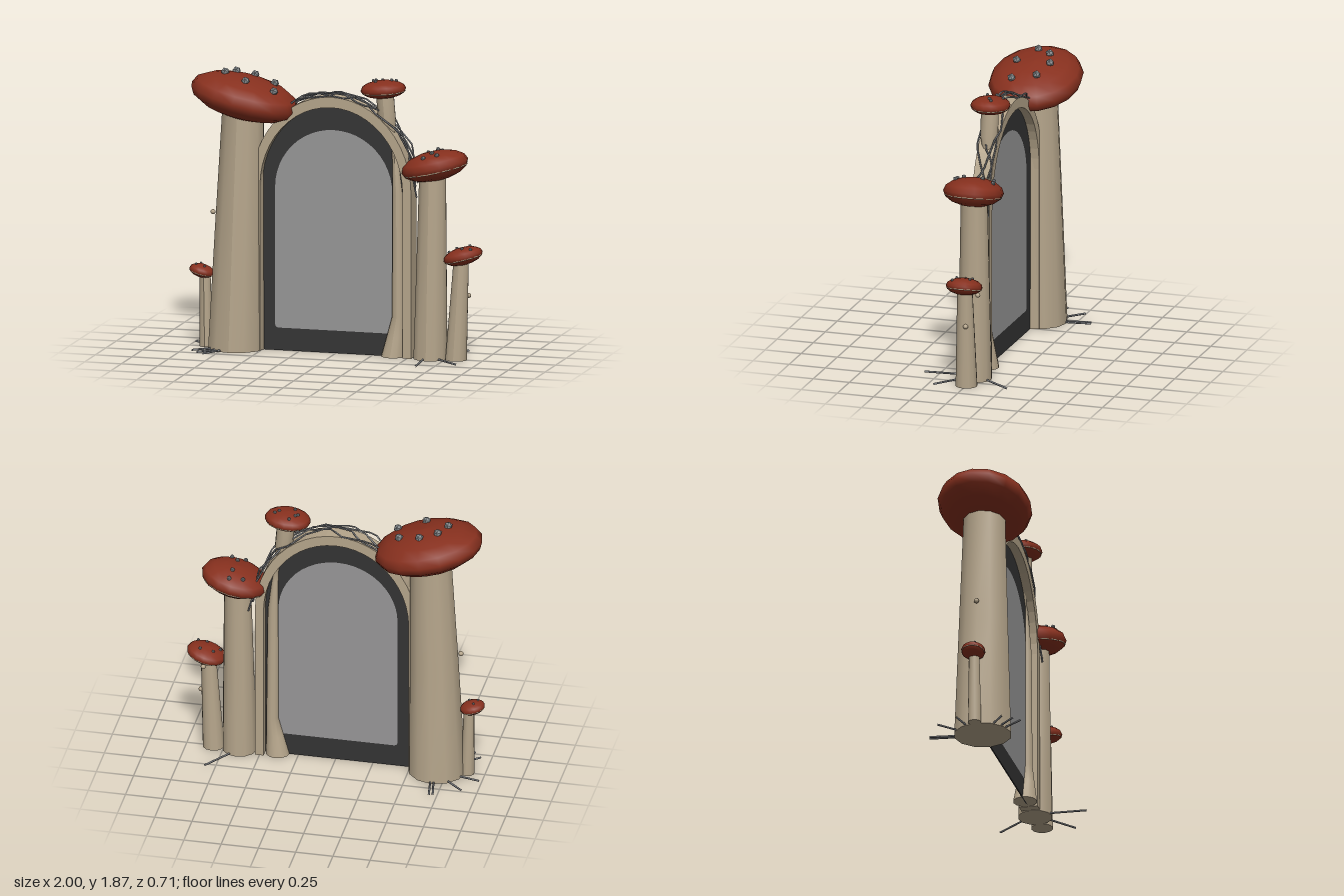
import * as THREE from 'three';

const mat = (name, color) => {
  const m = new THREE.MeshStandardMaterial({ color });
  m.name = name;
  return m;
};

export function createModel() {
  const root = new THREE.Group();
  root.name = 'mushroomArch';
  const wood = mat('stemBeige', 0xb5a58b);
  const red = mat('capRed', 0x87301e);
  const dark = mat('frameCharcoal', 0x343434);
  const pane = mat('paneGrey', 0x979697);
  const spotGrey = mat('spotGrey', 0x83888b);
  const vineGrey = mat('vineGrey', 0x7b7d81);

  const add = (name, geo, material, parent = root) => {
    const m = new THREE.Mesh(geo, material);
    m.name = name;
    parent.add(m);
    return m;
  };

  // Round stem lofted through horizontal sections [x, y, radius]
  function stem(name, sections, sides, parent) {
    const n = sections.length - 1;
    const geo = new THREE.CylinderGeometry(1, 1, n, sides, n);
    const p = geo.attributes.position;
    for (let i = 0; i < p.count; i++) {
      const [x, y, r] = sections[Math.round(p.getY(i) + n / 2)];
      p.setXYZ(i, x + p.getX(i) * r, y, p.getZ(i) * r);
    }
    geo.computeVertexNormals();
    return add(name, geo, wood, parent);
  }

  // Tilted lens-shaped cap with a gill rim and spots placed by x, z
  function cap(c, parent) {
    const g = new THREE.Group();
    g.name = 'cap';
    g.position.set(c.x, c.y, 0);
    g.rotation.z = c.tilt;
    parent.add(g);
    const pts = [];
    for (let i = 0; i <= 8; i++) {
      const a = -Math.PI / 2 + (i / 8) * Math.PI;
      pts.push(new THREE.Vector2(Math.max(0, Math.cos(a)), Math.sin(a)));
    }
    const dome = new THREE.LatheGeometry(pts, 16);
    dome.scale(c.rx, c.h, c.rz);
    add('capDome', dome, red, g);
    if (c.gills) {
      const rim = new THREE.CylinderGeometry(0.948, 0.948, 0.006, 20);
      rim.scale(c.rx, 1, c.rz);
      add('gillRim', rim, wood, g).position.y = -c.h * 0.28;
    }
    const ball = new THREE.IcosahedronGeometry(c.spotSize, 0);
    for (const [x, z] of c.spots) {
      const u = (x - c.x) / Math.cos(c.tilt);
      const k = 1 - (u / c.rx) ** 2 - (z / c.rz) ** 2;
      const v = c.h * Math.sqrt(Math.max(0, k));
      // correct for the tilt so the spot lands on the wanted x
      const w = u + v * Math.tan(c.tilt);
      const top = c.h * Math.sqrt(Math.max(0, 1 - (w / c.rx) ** 2 - (z / c.rz) ** 2));
      add('capSpot', ball, spotGrey, g).position.set(w, top + c.spotSize * 0.2, z);
    }
  }

  // The five mushrooms; the top one narrows through the arch into a slim root
  const mushrooms = [
    { name: 'largeLeftMushroom', sides: 12,
      stem: [[-0.68, 0, 0.192], [-0.66, 0.8, 0.166], [-0.635, 1.62, 0.14]],
      cap: { x: -0.623, y: 1.68, rx: 0.369, rz: 0.308, h: 0.14, tilt: -0.23, spotSize: 0.029,
        spots: [[-0.7, -0.07], [-0.585, -0.11], [-0.44, -0.065], [-0.75, 0.025], [-0.585, 0.12], [-0.4, 0.095]] } },
    { name: 'smallLeftMushroom', sides: 10,
      stem: [[-0.885, 0, 0.045], [-0.895, 0.5, 0.036]],
      cap: { x: -0.917, y: 0.503, rx: 0.084, rz: 0.08, h: 0.043, tilt: -0.25, spotSize: 0.009, gills: true,
        spots: [[-0.95, 0.02], [-0.93, -0.03], [-0.89, 0.03]] } },
    { name: 'topMushroom', sides: 12,
      stem: [[0.39, 0, 0.08], [0.408, 0.14, 0.059], [0.425, 0.27, 0.041], [0.421, 1.08, 0.036], [0.407, 1.3, 0.022],
        [0.394, 1.41, 0.014], [0.362, 1.5, 0.042], [0.348, 1.58, 0.06], [0.333, 1.76, 0.06]],
      cap: { x: 0.323, y: 1.78, rx: 0.153, rz: 0.13, h: 0.06, tilt: 0.08, spotSize: 0.012, gills: true,
        spots: [[0.297, -0.08], [0.265, -0.035], [0.25, -0.02], [0.377, -0.01], [0.403, -0.03], [0.28, 0.035]] } },
    { name: 'largeRightMushroom', sides: 12,
      stem: [[0.645, 0, 0.115], [0.652, 0.6, 0.103], [0.66, 1.27, 0.09]],
      cap: { x: 0.675, y: 1.288, rx: 0.228, rz: 0.197, h: 0.098, tilt: 0.23, spotSize: 0.016, gills: true,
        spots: [[0.6, -0.115], [0.687, -0.14], [0.68, -0.065], [0.675, 0.067], [0.632, 0.125], [0.72, 0.11]] } },
    { name: 'smallRightMushroom', sides: 12,
      stem: [[0.82, 0, 0.073], [0.855, 0.68, 0.051]],
      cap: { x: 0.868, y: 0.695, rx: 0.134, rz: 0.12, h: 0.058, tilt: 0.27, spotSize: 0.011, gills: true,
        spots: [[0.78, 0.02], [0.815, -0.04], [0.875, 0.05], [0.935, 0.06], [0.9, -0.05]] } },
  ];
  for (const m of mushrooms) {
    const g = new THREE.Group();
    g.name = m.name;
    root.add(g);
    stem('stem', m.stem, m.sides, g);
    cap(m.cap, g);
  }

  // Little growths on the stems
  const bead = new THREE.IcosahedronGeometry(0.017, 1);
  for (const [x, y, z] of [[-0.84, 0.9, 0], [0.9, 0.43, -0.02], [0.87, 0.645, -0.095]])
    add('stemBead', bead, wood).position.set(x, y, z);

  // Archway: points from the lower right, over the top, to the lower left
  const CX = -0.015;
  const archPoints = (w, h, spring, base) => {
    const pts = [new THREE.Vector2(CX + w, base)];
    for (let i = 0; i <= 24; i++) {
      const a = (i / 24) * Math.PI;
      pts.push(new THREE.Vector2(CX + Math.cos(a) * w, spring + Math.sin(a) * h));
    }
    pts.push(new THREE.Vector2(CX - w, base));
    return pts;
  };
  const slab = (shape, half) => {
    const geo = new THREE.ExtrudeGeometry(shape, { depth: half * 2, bevelEnabled: false });
    return geo.translate(0, 0, -half);
  };
  const outer = archPoints(0.545, 0.62, 1.1, 0);
  const inner = archPoints(0.487, 0.55, 1.1, 0);
  add('archRing', slab(new THREE.Shape([...outer, ...inner.slice().reverse()]), 0.062), wood);

  // Thin door in the middle of the arch, pane with rounded lower corners
  const c = 0.02, base = 0.15;
  const opening = archPoints(0.4, 0.4, 1.09, base + c);
  opening.push(new THREE.Vector2(CX - 0.394, base + 0.006), new THREE.Vector2(CX - 0.4 + c, base),
    new THREE.Vector2(CX + 0.4 - c, base), new THREE.Vector2(CX + 0.394, base + 0.006));
  const frame = new THREE.Shape(inner);
  frame.holes.push(new THREE.Path(opening));
  add('doorFrame', slab(frame, 0.004), dark);
  add('doorPane', slab(new THREE.Shape(opening), 0.004), pane);

  // Vines wandering over the arch in uneven straight runs
  for (let s = 0; s < 4; s++) {
    const pts = [];
    const end = 9;
    for (let i = 0; i <= end; i++) {
      const a = 2.15 - i * 0.235 + 0.07 * Math.sin(i * 2.7 + s * 1.7);
      const out = 0.022 + 0.016 * Math.sin(i * 2.3 + s * 2.1);
      pts.push(new THREE.Vector3(
        CX + Math.cos(a) * (0.55 + out), 1.1 + Math.sin(a) * (0.62 + out),
        0.07 * Math.sin(i * 0.8 + s * 1.1 + 3.6)));
    }
    const path = new THREE.CurvePath();
    for (let i = 0; i < end; i++) path.add(new THREE.LineCurve3(pts[i], pts[i + 1]));
    add('vine', new THREE.TubeGeometry(path, end * 3, 0.006, 5), vineGrey);
  }

  // Thin roots lying on the ground: start x, z to end x, z
  const roots = [
    [-0.68, -0.1, -0.725, -0.35], [-0.66, -0.1, -0.7, -0.355], [-0.75, -0.12, -0.9, -0.25],
    [-0.75, -0.05, -0.985, -0.1], [-0.78, 0.08, -0.93, 0.2], [-0.75, 0.12, -0.88, 0.26],
    [-0.72, 0.14, -0.83, 0.3], [0.68, -0.08, 0.825, -0.285], [0.7, 0.06, 0.885, 0.21],
    [0.62, 0.05, 0.64, 0.35],
  ];
  for (const [x1, z1, x2, z2] of roots) {
    const line = new THREE.LineCurve3(new THREE.Vector3(x1, 0.01, z1), new THREE.Vector3(x2, 0.008, z2));
    add('root', new THREE.TubeGeometry(line, 1, 0.007, 5), vineGrey);
  }
  return root;
}
